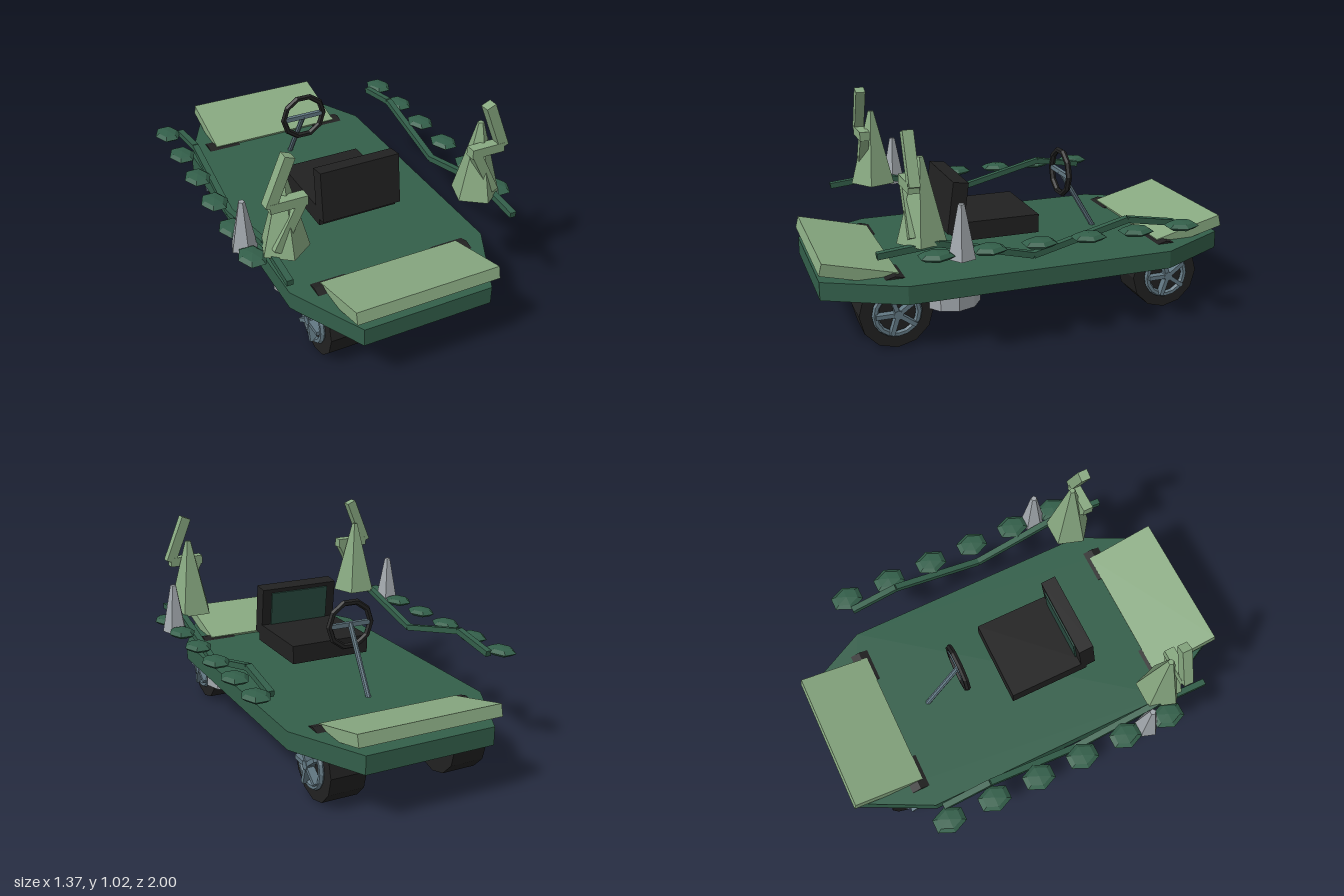
import * as THREE from 'three';

export function createModel() {
  const root = new THREE.Group();
  root.name = 'buggy';
  const mat = (name, color) => {
    const m = new THREE.MeshStandardMaterial({ color });
    m.name = name;
    m.flatShading = true;
    return m;
  };
  const green = mat('deepGreen', 0x335f4a);
  const sage = mat('sageGreen', 0x88a981);
  const black = mat('softBlack', 0x212121);
  const slate = mat('slateBlue', 0x627883);
  const grey = mat('paleGrey', 0xa2a8ad);
  const panelGreen = mat('panelGreen', 0x2a4d42);

  const add = (name, geo, material, x = 0, y = 0, z = 0, parent = root) => {
    const m = new THREE.Mesh(geo, material);
    m.name = name;
    m.position.set(x, y, z);
    parent.add(m);
    return m;
  };
  const box = (w, h, d) => new THREE.BoxGeometry(w, h, d);
  const cyl = (rt, rb, h, n) => new THREE.CylinderGeometry(rt, rb, h, n);

  // Chassis plate with tapered ends
  const outline = [[0.315, -0.995], [0.495, -0.64], [0.495, 0.64], [0.315, 0.995],
    [-0.315, 0.995], [-0.495, 0.64], [-0.495, -0.64], [-0.315, -0.995]];
  const plate = new THREE.ExtrudeGeometry(
    new THREE.Shape(outline.map(([x, z]) => new THREE.Vector2(x, z))),
    { depth: 0.086, bevelEnabled: false });
  plate.rotateX(-Math.PI / 2);
  add('chassis', plate, green, 0, 0.242, 0);

  // Tilted end slabs
  for (const s of [1, -1]) {
    add(s > 0 ? 'frontHood' : 'rearHood', box(0.7, 0.057, 0.352), sage, 0, 0.354, s * 0.822)
      .rotation.x = -s * 0.25;
  }

  // Wheels: tyre, rim ring and five spokes
  for (const sx of [1, -1]) {
    for (const z of [0.672, -0.672]) {
      const wheel = new THREE.Group();
      wheel.name = 'wheel';
      wheel.position.set(sx * 0.307, 0.17, z);
      root.add(wheel);
      add('tyre', cyl(0.17, 0.17, 0.17, 12).rotateZ(Math.PI / 2), black, 0, 0, 0, wheel);
      add('rim', new THREE.TorusGeometry(0.1, 0.015, 6, 16).rotateY(Math.PI / 2), slate, sx * 0.092, 0, 0, wheel);
      add('hub', cyl(0.022, 0.022, 0.04, 8).rotateZ(Math.PI / 2), slate, sx * 0.105, 0, 0, wheel);
      for (let i = 0; i < 5; i++) {
        const spoke = box(0.035, 0.02, 0.1).translate(0, 0, 0.05).rotateX(i * Math.PI * 0.4);
        add('spoke', spoke, slate, sx * 0.105, 0, 0, wheel);
      }
    }
    // Flat drum under the chassis
    add('underDrum', cyl(0.135, 0.135, 0.065, 10).rotateY(Math.PI / 2), grey, sx * 0.335, 0.198, 0.404);
  }

  // Seat
  add('seatBase', box(0.405, 0.09, 0.41), black, 0, 0.441, 0.125);
  const back = add('seatBack', box(0.405, 0.25, 0.075), black, 0, 0.557, 0.322);
  back.rotation.x = -0.13;
  add('seatPanel', box(0.31, 0.18, 0.009), panelGreen, 0, 0.015, -0.041, back);

  // Rod between two points, square or round in section
  const rod = (name, a, b, w, d, material, parent = root, round = false) => {
    const p = new THREE.Vector3(...a), q = new THREE.Vector3(...b);
    const len = p.distanceTo(q);
    const m = add(name, round ? cyl(w / 2, w / 2, len, 8) : box(w, len, d), material, 0, 0, 0, parent);
    m.position.copy(p).add(q).multiplyScalar(0.5);
    m.quaternion.setFromUnitVectors(new THREE.Vector3(0, 1, 0), q.sub(p).normalize());
    return m;
  };

  // Steering wheel and column
  add('steeringWheel', new THREE.TorusGeometry(0.11, 0.015, 6, 10), black, 0, 0.626, -0.275);
  add('steeringBar', box(0.2, 0.022, 0.02), slate, 0, 0.626, -0.275);
  rod('steeringColumn', [0, 0.63, -0.275], [0, 0.31, -0.467], 0.026, 0, slate, root, true);

  // Side ornaments, mirrored
  const vine = [[0.785, 0.508], [0.52, 0.533], [0.085, 0.425], [-0.37, 0.538], [-0.61, 0.497]];
  for (const s of [1, -1]) {
    const side = new THREE.Group();
    side.name = s > 0 ? 'leftOrnaments' : 'rightOrnaments';
    root.add(side);
    for (let i = 0; i < vine.length - 1; i++) {
      const [z0, y0] = vine[i], [z1, y1] = vine[i + 1];
      rod('vine', [s * 0.553, y0, z0], [s * 0.553, y1, z1], 0.03, 0.028, green, side);
    }
    for (let i = 0; i < 6; i++) {
      const leaf = new THREE.SphereGeometry(1, 6, 4).scale(0.065, 0.021, 0.085);
      add('leaf', leaf, green, s * 0.622, 0.503, -0.613 + i * 0.232, side);
    }
    // Spires
    add('tallSpire', cyl(0.015, 0.114, 0.372, 5), sage, s * 0.485, 0.714, 0.57, side);
    add('smallSpire', cyl(0.015, 0.062, 0.238, 5), grey, s * 0.618, 0.597, 0.434, side);
    // Zigzag bolt of three bars
    rod('boltTop', [s * 0.479, 1.012, 0.622], [s * 0.57, 0.79, 0.622], 0.048, 0.048, sage, side);
    add('boltMiddle', box(0.168, 0.045, 0.05), sage, s * 0.487, 0.788, 0.622, side);
    rod('boltBottom', [s * 0.43, 0.775, 0.622], [s * 0.54, 0.56, 0.622], 0.046, 0.046, sage, side);
  }
  return root;
}
